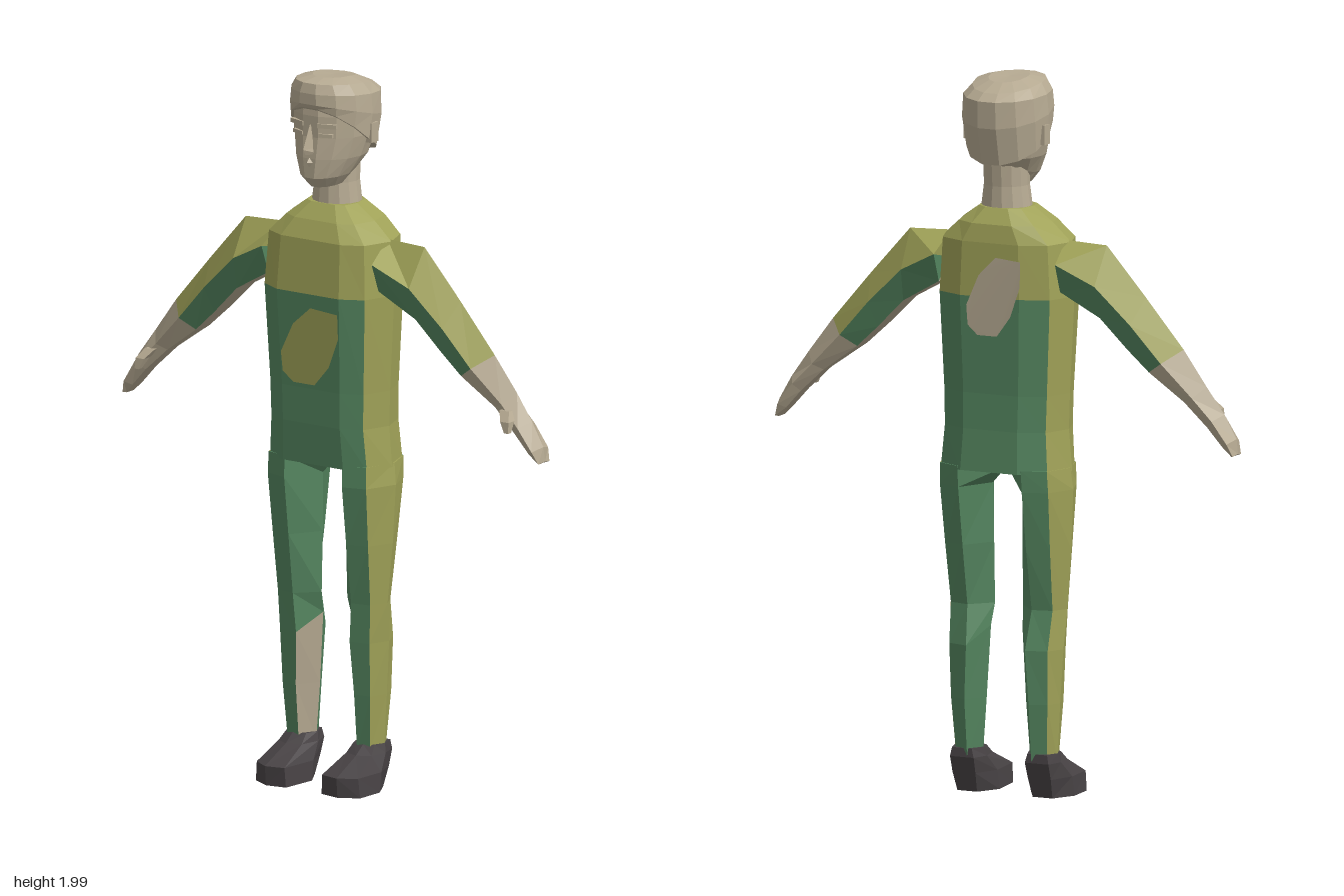
import * as THREE from 'three';

const mat = (name, color) => {
  const m = new THREE.MeshStandardMaterial({ color });
  m.name = name;
  return m;
};

// Joins rings of [x, y, z] points into a closed, faceted solid; paint(ring, side) picks each strip's material.
function loft(name, rings, paint) {
  const faces = new Map();
  const n = rings[0].length;
  let volume = 0;
  const add = (m, a, b, c) => {
    const [p, q, r] = [a, b, c].map(v => new THREE.Vector3(...v));
    volume += p.dot(q.clone().cross(r));
    if (!faces.has(m)) faces.set(m, []);
    faces.get(m).push([p, q, r]);
  };
  for (let i = 0; i < rings.length - 1; i++) {
    for (let j = 0; j < n; j++) {
      const k = (j + 1) % n, m = paint(i, j);
      add(m, rings[i][j], rings[i][k], rings[i + 1][k]);
      add(m, rings[i][j], rings[i + 1][k], rings[i + 1][j]);
    }
  }
  const middle = ring => [0, 1, 2].map(c => ring.reduce((s, p) => s + p[c], 0) / n);
  const first = rings[0], last = rings[rings.length - 1];
  const c0 = middle(first), c1 = middle(last);
  for (let j = 0; j < n; j++) {
    const k = (j + 1) % n;
    add(paint(0, j), c0, first[k], first[j]);
    add(paint(rings.length - 2, j), c1, last[j], last[k]);
  }
  const geo = new THREE.BufferGeometry(), points = [], mats = [];
  for (const [m, tris] of faces) {
    geo.addGroup(points.length, tris.length * 3, mats.length);
    mats.push(m);
    for (const t of tris) points.push(...(volume < 0 ? [t[0], t[2], t[1]] : t));
  }
  geo.setFromPoints(points);
  geo.computeVertexNormals();
  const mesh = new THREE.Mesh(geo, mats.length > 1 ? mats : mats[0]);
  mesh.name = name;
  return mesh;
}

// Oval ring: half width, front z, back z; y may differ front, side and back.
function oval(rx, zf, zb, yf, ys = yf, yb = yf, n = 14) {
  return Array.from({ length: n }, (_, i) => {
    const a = (i + 0.5) / n * Math.PI * 2, s = Math.sin(a), c = Math.cos(a);
    const zc = (zf + zb) / 2, t = Math.abs(c);
    return [rx * s, ys + ((c > 0 ? yf : yb) - ys) * t, zc + (zf - zb) / 2 * c];
  });
}

export function createModel() {
  const green = mat('green cloth', 0x54855f), olive = mat('olive cloth', 0xa0a258);
  const tan = mat('tan skin', 0xb6aa92), dark = mat('dark shoe', 0x484345);
  const model = new THREE.Group();
  model.name = 'figure';
  const allTan = () => tan;

  // Torso: y, half width, front z, back z
  const torso = [
    [0.915, 0.193, 0.092, -0.135], [1.03, 0.183, 0.1, -0.125], [1.13, 0.186, 0.102, -0.122],
    [1.4, 0.2, 0.117, -0.13], [1.55, 0.19, 0.105, -0.126], [1.6, 0.135, 0.08, -0.117], [1.642, 0.076, 0.045, -0.087],
  ].map(([y, w, f, b]) => {
    const half = [[w, -0.01], [w * 0.84, f * 0.72], [w * 0.52, f]];
    const back = [[w * 0.45, b], [w * 0.84, b * 0.75]];
    const pts = [...half, ...half.slice().reverse().map(([x, z]) => [-x, z]),
      ...back.slice().reverse().map(([x, z]) => [-x, z]), ...back];
    return pts.map(([x, z]) => [x, y, z]);
  });
  model.add(loft('torso', torso, (i, j) => (i >= 3 || [0, 4, 5, 9].includes(j) ? olive : green)));

  // Thin cloth patches on chest and back
  const patch = (name, material, pts, zAt, back) => {
    const geo = new THREE.ShapeGeometry(new THREE.Shape(pts.map(p => new THREE.Vector2(...p))));
    const pos = geo.attributes.position;
    for (let i = 0; i < pos.count; i++) {
      if (back) pos.setX(i, -pos.getX(i));
      pos.setZ(i, zAt(pos.getY(i)));
    }
    geo.computeVertexNormals();
    const mesh = new THREE.Mesh(geo, material);
    mesh.name = name;
    model.add(mesh);
  };
  const lerp = THREE.MathUtils.mapLinear;
  const blob = [[0.1, 1.355], [0.01, 1.362], [-0.05, 1.31], [-0.094, 1.225], [-0.09, 1.17],
    [-0.055, 1.143], [0.015, 1.143], [0.065, 1.2], [0.1, 1.285]];
  patch('chestPatch', olive, blob, y => lerp(y, 1.13, 1.4, 0.102, 0.117) + 0.004, false);
  // ShapeGeometry winds counter-clockwise, so flipping x turns the patch to the back
  patch('backPatch', tan, blob.map(([x, y]) => [x * 0.84 + 0.01, y + 0.15]),
    y => (y < 1.4 ? lerp(y, 1.13, 1.4, -0.122, -0.13) : lerp(y, 1.4, 1.55, -0.13, -0.126)) - 0.004, true);

  for (const [side, s] of [['left', 1], ['right', -1]]) {
    const flip = ring => ring.map(([x, y, z]) => [x * s, y, z]);

    // Leg: y, outer x, front outer x, front inner x, inner x, front z, back z, rise of the inner corner
    const leg = [
      [0.925, 0.193, 0.163, 0.097, 0, 0.09, -0.132, -0.01], [0.865, 0.2, 0.165, 0.097, 0.045, 0.092, -0.127, 0],
      [0.7, 0.192, 0.16, 0.097, 0.043, 0.072, -0.1, 0], [0.53, 0.178, 0.155, 0.098, 0.043, 0.05, -0.068, 0],
      [0.42, 0.173, 0.15, 0.09, 0.048, 0.046, -0.093, 0.05], [0.27, 0.164, 0.147, 0.098, 0.06, 0.036, -0.087, 0],
      [0.11, 0.155, 0.138, 0.098, 0.072, 0.022, -0.07, 0],
    ].map(([y, o, fo, fi, inn, f, b, up]) => flip([
      [o, y, (f + b) / 2], [fo, y, f * 0.8], [fi, y, f], [inn, y + up, (f + b) / 2], [fi, y, b], [fo, y, b * 0.8],
    ]));
    model.add(loft(side + 'Leg', leg, (i, j) => (j === 0 || j === 5 ? olive : j === 2 && i >= 4 ? tan : green)));

    // Shoe: sole, welt and ankle outlines
    const shoe = [
      [0.005, [[0.085, -0.035], [0.145, -0.035], [0.18, 0.03], [0.175, 0.115], [0.12, 0.145], [0.06, 0.135], [0.048, 0.03]]],
      [0.06, [[0.08, -0.055], [0.15, -0.055], [0.178, 0.02], [0.17, 0.118], [0.12, 0.15], [0.063, 0.138], [0.05, 0.02]]],
      [0.105, [[0.078, -0.07], [0.15, -0.07], [0.164, -0.02], [0.156, 0.035], [0.118, 0.055], [0.075, 0.04], [0.062, -0.02]]],
      [0.13, [[0.085, -0.068], [0.145, -0.068], [0.158, -0.025], [0.148, 0.01], [0.118, 0.022], [0.08, 0.012], [0.068, -0.025]]],
    ].map(([y, pts]) => flip(pts.map(([x, z]) => [x, y, z])));
    model.add(loft(side + 'Shoe', shoe, () => dark));

    // Arm and hand: top, middle and bottom corner [x, y], then front z and back z
    const arm = [
      [0.175, 1.555, 0.185, 1.5, 0.185, 1.42, 0.075, -0.1], [0.3, 1.55, 0.295, 1.445, 0.3, 1.355, 0.055, -0.08],
      [0.42, 1.415, 0.4, 1.345, 0.38, 1.275, 0.045, -0.072], [0.535, 1.28, 0.49, 1.245, 0.445, 1.215, 0.038, -0.065],
      [0.607, 1.183, 0.58, 1.155, 0.55, 1.14, 0.02, -0.055], [0.66, 1.11, 0.64, 1.095, 0.62, 1.075, 0.026, -0.055],
      [0.697, 1.045, 0.685, 1.035, 0.665, 1.025, 0.024, -0.054], [0.702, 1.005, 0.698, 1, 0.69, 0.998, 0.01, -0.042],
    ].map(([tx, ty, mx, my, bx, by, f, b]) => {
      const c = (f + b) / 2, h = (f - b) * 0.32;
      return flip([[tx, ty, c], [mx, my, f], [bx, by, c + h], [bx, by, c - h], [mx, my, b]]);
    });
    model.add(loft(side + 'Arm', arm, (i, j) => (i >= 3 || j === 2 ? tan : j === 0 || j === 4 ? olive : green)));
    const thumb = [[0.595, 1.14, 0.01, 0.016], [0.612, 1.115, 0.036, 0.014], [0.62, 1.085, 0.046, 0.007]]
      .map(([x, y, z, r]) => flip([[x - r, y, z - r], [x + r, y, z - r], [x + r, y, z + r], [x - r, y, z + r]]));
    model.add(loft(side + 'Thumb', thumb, allTan));

    // Ear, eyelid and brow
    const box = (name, size, pos, tilt = 0) => {
      const mesh = new THREE.Mesh(new THREE.BoxGeometry(...size), tan);
      mesh.name = side + name;
      mesh.position.set(pos[0] * s, pos[1], pos[2]);
      mesh.rotation.y = tilt * s;
      model.add(mesh);
    };
    box('Ear', [0.02, 0.055, 0.032], [0.114, 1.845, -0.025]);
    box('Eyelid', [0.04, 0.01, 0.012], [0.045, 1.848, 0.094], 0.3);
    box('Brow', [0.055, 0.012, 0.016], [0.048, 1.875, 0.092], 0.3);
  }

  // Neck, face and hair
  model.add(loft('neck', [oval(0.074, 0.045, -0.088, 1.62), oval(0.063, 0.04, -0.085, 1.7), oval(0.063, 0.04, -0.09, 1.77)], allTan));
  model.add(loft('face', [
    oval(0.045, 0.085, -0.05, 1.695, 1.7, 1.72), oval(0.068, 0.112, -0.075, 1.725, 1.73, 1.745),
    oval(0.095, 0.112, -0.11, 1.78), oval(0.111, 0.106, -0.125, 1.84),
    oval(0.115, 0.107, -0.13, 1.9), oval(0.1, 0.1, -0.11, 1.96),
  ], allTan));
  model.add(loft('hair', [
    oval(0.118, 0.113, -0.125, 1.925, 1.83, 1.765), oval(0.124, 0.12, -0.15, 1.935, 1.9, 1.87),
    oval(0.119, 0.12, -0.152, 1.965, 1.955, 1.945), oval(0.098, 0.112, -0.125, 1.992, 1.985, 1.965),
    oval(0.055, 0.06, -0.075, 2, 1.998, 1.988),
  ], allTan));

  // Nose and lips
  model.add(loft('nose', [[1.875, 0.009, 0.107], [1.81, 0.016, 0.138], [1.793, 0.02, 0.126]]
    .map(([y, w, z]) => [[-w, y, 0.09], [0, y, z], [w, y, 0.09]]), allTan));
  model.add(loft('lips', [[1.782, 0.022, 0.11], [1.77, 0.03, 0.121], [1.757, 0.022, 0.112]]
    .map(([y, w, z]) => [[-w, y, 0.09], [0, y, z], [w, y, 0.09]]), allTan));

  return model;
}
